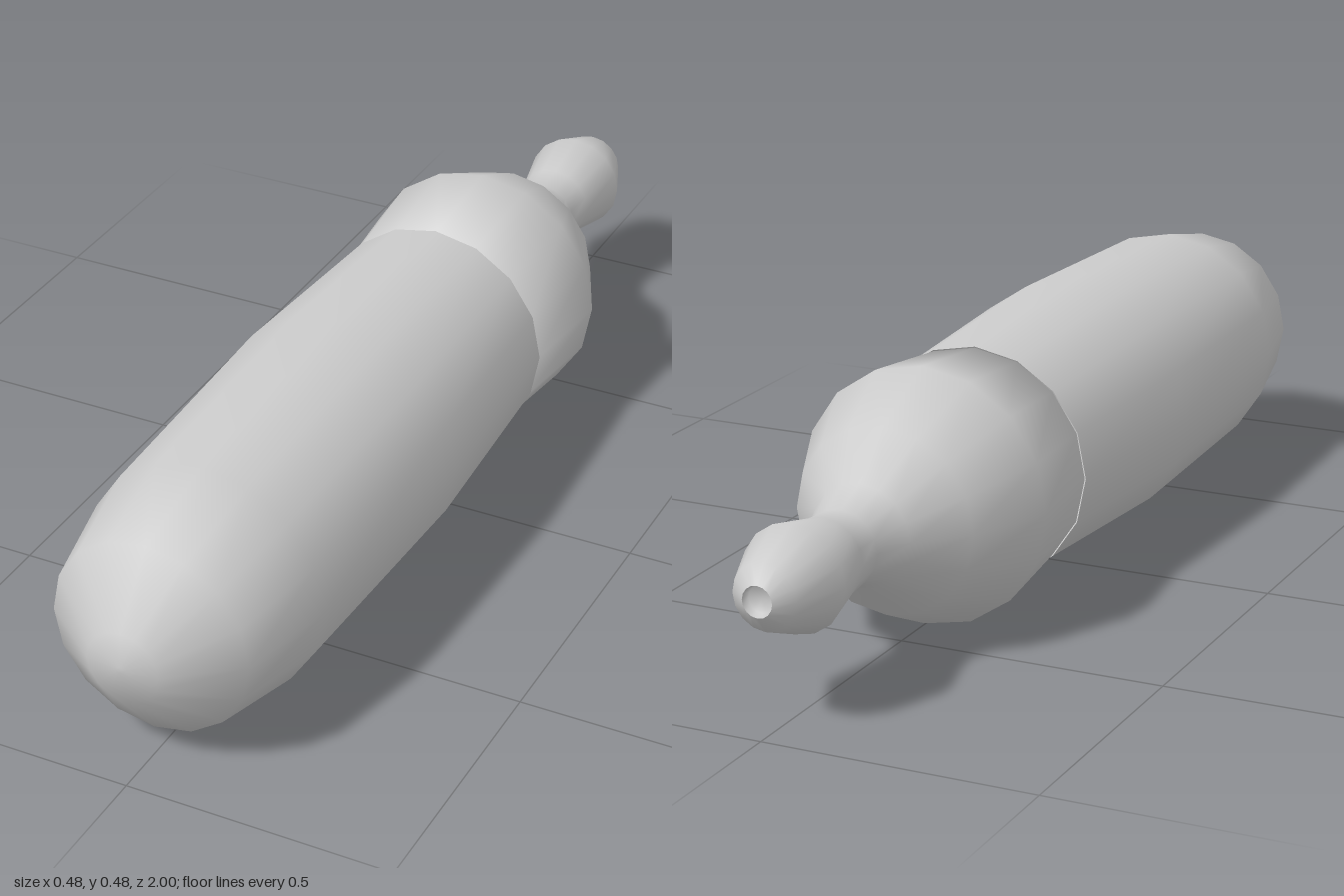
import * as THREE from 'three';

const SIDES = 16;
const AXIS_HEIGHT = 0.243;

// Turns a profile of [radius, z] pairs, listed from back to front, around the z axis
function turned(name, profile) {
  const points = profile.map(([r, z]) => new THREE.Vector2(r, z));
  const geometry = new THREE.LatheGeometry(points, SIDES);
  geometry.rotateX(Math.PI / 2);
  const material = new THREE.MeshStandardMaterial({ color: 0xcccccc, side: THREE.DoubleSide });
  const mesh = new THREE.Mesh(geometry, material);
  mesh.name = name;
  mesh.position.y = AXIS_HEIGHT;
  return mesh;
}

export function createModel() {
  const group = new THREE.Group();
  group.name = 'roundedCapsule';

  // Long, slightly swollen body with a rounded nose
  group.add(turned('body', [
    [0.221, -0.2],
    [0.242, 0.22],
    [0.228, 0.71],
    [0.187, 0.9],
    [0.068, 0.992],
    [0.006, 1],
    [0, 1],
  ]));

  // Domed shoulder narrowing to a neck and a bulbous tip, closed where it meets the body
  group.add(turned('shoulderAndTip', [
    [0.028, -1],
    [0.06, -0.975],
    [0.097, -0.88],
    [0.074, -0.775],
    [0.069, -0.715],
    [0.095, -0.645],
    [0.172, -0.56],
    [0.24, -0.41],
    [0.219, -0.2],
    [0, -0.2],
  ]));

  // Shallow socket in the end of the tip
  group.add(turned('tipSocket', [
    [0, -0.985],
    [0.024, -0.985],
    [0.028, -1],
  ]));

  return group;
}
